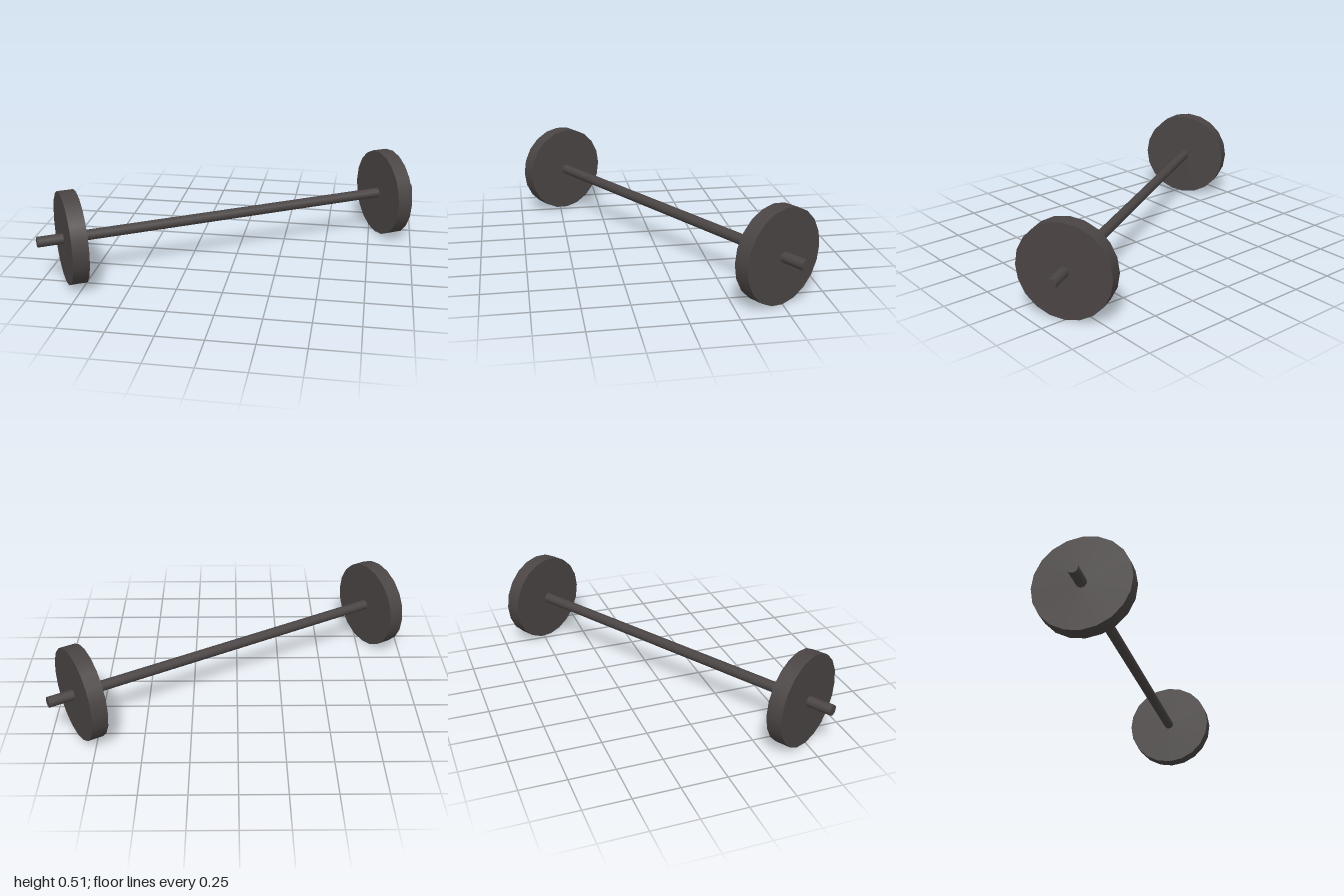
import * as THREE from 'three';

export function createModel() {
  const iron = new THREE.MeshStandardMaterial({ color: 0x4a4544 });
  iron.name = 'dark iron';

  const barbell = new THREE.Group();
  barbell.name = 'barbell';

  // Cylinder lying along the bar's axis
  const addRod = (name, radius, length, sides, x) => {
    const geometry = new THREE.CylinderGeometry(radius, radius, length, sides).rotateZ(Math.PI / 2);
    const mesh = new THREE.Mesh(geometry, iron);
    mesh.name = name;
    mesh.position.x = x;
    barbell.add(mesh);
  };

  // Long bar with a weight plate near each end
  addRod('bar', 0.029, 2.276, 12, 0);
  addRod('leftPlate', 0.256, 0.088, 20, 0.955);
  addRod('rightPlate', 0.256, 0.088, 20, -0.955);

  // Resting on its plates, turned diagonally
  barbell.position.y = 0.256;
  barbell.rotation.y = Math.PI / 6;

  const model = new THREE.Group();
  model.name = 'model';
  model.add(barbell);
  return model;
}
